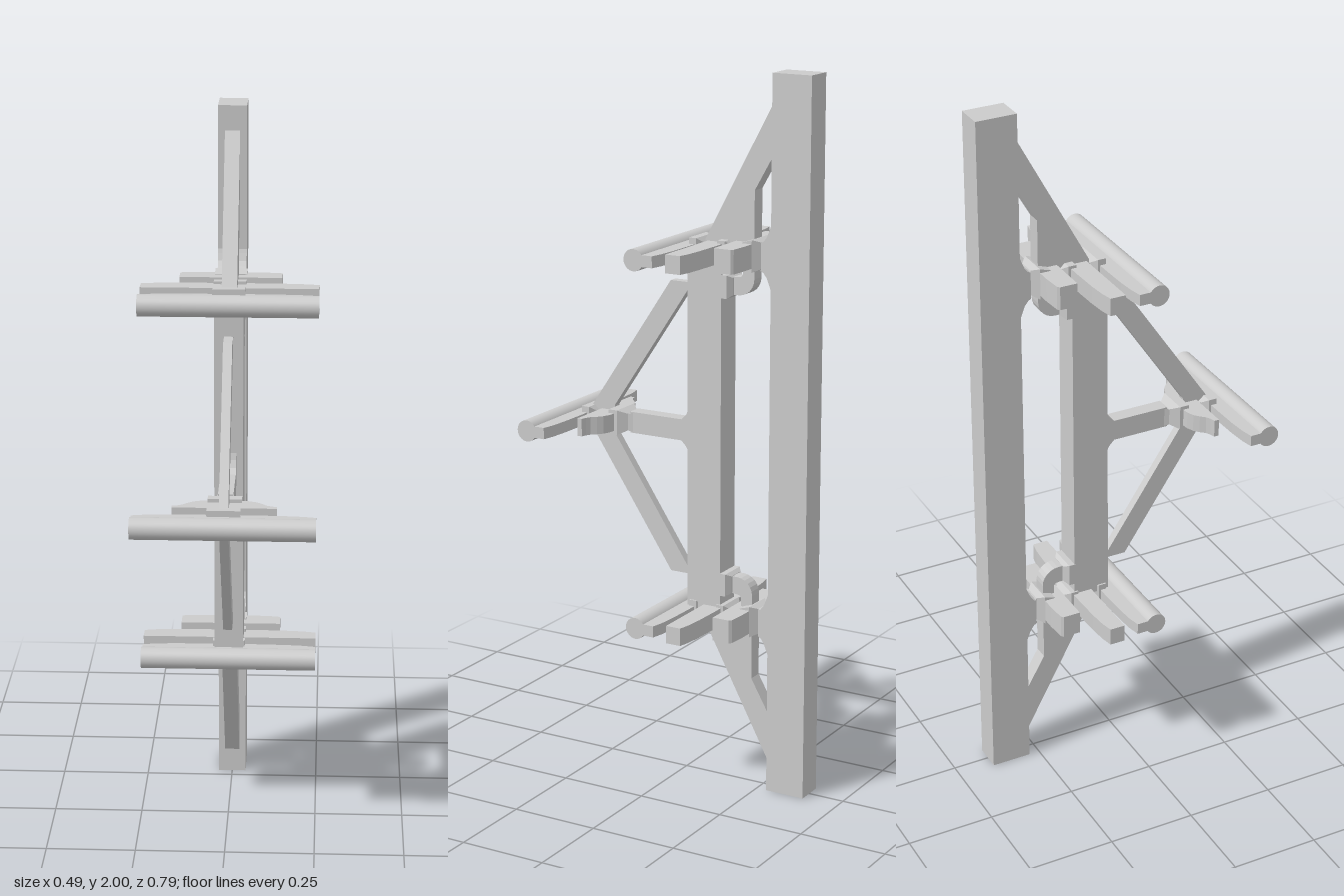
import * as THREE from 'three';

const material = new THREE.MeshStandardMaterial({ color: 0xcccccc, flatShading: true, side: THREE.DoubleSide });
const smooth = new THREE.MeshStandardMaterial({ color: 0xcccccc });

export function createModel() {
  const root = new THREE.Group();

  function add(name, geometry, mat = material) {
    const mesh = new THREE.Mesh(geometry, mat);
    mesh.name = name;
    root.add(mesh);
    return mesh;
  }

  function box(name, hx, y0, y1, z0, z1) {
    const g = new THREE.BoxGeometry(2 * hx, y1 - y0, z1 - z0);
    add(name, g.translate(0, (y0 + y1) / 2, (z0 + z1) / 2));
  }

  // Side-on plate: outline in [z, y], thickness across x
  function plate(name, points, hx) {
    const shape = new THREE.Shape(points.map(([z, y]) => new THREE.Vector2(z, y)));
    const g = new THREE.ExtrudeGeometry(shape, { depth: 2 * hx, bevelEnabled: false });
    add(name, g.translate(0, 0, -hx).rotateY(-Math.PI / 2));
  }

  // Cross arm: half outline in [x, z] along its back edge, straight front edge at zFront
  function crossArm(name, half, zFront, y, hy) {
    const end = half[half.length - 1][0];
    const back = [...half.slice().reverse().map(([x, z]) => [-x, z]), ...half];
    const pts = [...back, [end, zFront], [-end, zFront]];
    const shape = new THREE.Shape(pts.map(([x, z]) => new THREE.Vector2(x, z)));
    const g = new THREE.ExtrudeGeometry(shape, { depth: 2 * hy, bevelEnabled: false });
    add(name, g.translate(0, 0, -hy).rotateX(Math.PI / 2).translate(0, y, 0));
  }

  // Rectangular loft along z: rows of [z, halfX, halfY]
  function loft(name, rows, y) {
    const pos = [], index = [];
    for (const [z, hx, hy] of rows) {
      for (const [sx, sy] of [[-1, -1], [1, -1], [1, 1], [-1, 1]]) pos.push(sx * hx, y + sy * hy, z);
    }
    for (let r = 0; r < rows.length - 1; r++) {
      for (let i = 0; i < 4; i++) {
        const a = r * 4 + i, b = r * 4 + (i + 1) % 4;
        index.push(a, b, b + 4, a, b + 4, a + 4);
      }
    }
    const n = (rows.length - 1) * 4;
    index.push(0, 2, 1, 0, 3, 2, n, n + 1, n + 2, n, n + 2, n + 3);
    const g = new THREE.BufferGeometry();
    g.setAttribute('position', new THREE.Float32BufferAttribute(pos, 3));
    g.setIndex(index);
    const flat = g.toNonIndexed();
    flat.computeVertexNormals();
    add(name, flat);
  }

  // Bearing block with a concave flare from neck to seat
  function bearingBlock(y, z, length) {
    loft('bearingBlock', [
      [z, 0.022, 0.018], [z + length * 0.2, 0.025, 0.02],
      [z + length * 0.5, 0.045, 0.033], [z + length, 0.045, 0.033],
    ], y);
  }

  // Long bowed arm with a round pole in front of it
  function bowedArm(z, zFront, y, hy) {
    crossArm('longCrossArm', [[0.08, z], [0.16, z + 0.002], [0.21, z + 0.006], [0.245, z + 0.013]], zFront, y, hy);
  }
  function poleRail(y, zArm, zPole) {
    bowedArm(zArm, zPole - 0.018, y, 0.016);
    const g = new THREE.CylinderGeometry(0.03, 0.03, 0.49, 32);
    add('roundPole', g.rotateZ(Math.PI / 2).translate(0, y, zPole), smooth);
  }

  // Posts
  box('mainPost', 0.04, 0, 2, -0.395, -0.28);
  box('innerPost', 0.04, 0.5, 1.5, -0.13, -0.025);

  // Upper and lower bracket sets, mirrored about y = 1
  for (const s of [1, -1]) {
    const at = (pts) => pts.map(([z, y]) => [z, 1 + s * (y - 1)]);
    const y = 1 + s * 0.512;

    // Diagonal brace from main post to inner post
    plate('diagonalBrace', at([
      [-0.28, 1.93], [-0.07, 1.54], [-0.07, 1.5], [-0.22, 1.5], [-0.22, 1.685], [-0.28, 1.79],
    ]), 0.021);

    // Flared base on the main post, and its first block
    loft('flaredBase', [
      [-0.285, 0.04, 0.1], [-0.276, 0.04, 0.075], [-0.268, 0.04, 0.055],
      [-0.258, 0.04, 0.042], [-0.25, 0.04, 0.038],
    ], y);
    loft('firstBlock', [
      [-0.25, 0.038, 0.036], [-0.243, 0.025, 0.036], [-0.225, 0.045, 0.044], [-0.195, 0.045, 0.035],
    ], y);

    // Chain of cross arms and blocks out to the pole
    crossArm('shortCrossArm', [[0.08, -0.225], [0.135, -0.221], [0.142, -0.215]], -0.165, y, 0.033);
    bearingBlock(y, -0.165, 0.045);
    bowedArm(-0.135, -0.078, y, 0.025);
    bearingBlock(y, -0.078, 0.045);
    poleRail(y, -0.05, 0.02);

    // Elbow arm linking the short cross arm to the inner post
    const elbow = [[-0.22, 1.5], [-0.185, 1.5], [-0.185, 1.455], [-0.18, 1.448], [-0.15, 1.445], [-0.15, 1.397]];
    for (let i = 0; i <= 6; i++) {
      const a = (i / 6) * Math.PI / 2;
      elbow.push([-0.172 - 0.048 * Math.sin(a), 1.445 - 0.048 * Math.cos(a)]);
    }
    plate('elbowArm', at(elbow), 0.02);
    loft('elbowBlock', [[-0.158, 0.025, 0.024], [-0.147, 0.042, 0.032], [-0.128, 0.042, 0.032]], 1 + s * 0.42);

    // Slanted strut carrying the forward pole
    plate('slantedStrut', at([[-0.025, 1.415], [0.043, 1.415], [0.3, 1.03], [0.285, 1.0], [0.23, 1.0], [0.225, 1.04]]), 0.0125);
  }

  // Middle forward arm with its flared root
  box('middleArm', 0.021, 0.97, 1.03, -0.03, 0.17);
  loft('armRoot', [
    [-0.027, 0.021, 0.09], [-0.02, 0.021, 0.065], [-0.01, 0.021, 0.045], [0.005, 0.021, 0.03],
  ], 1);
  loft('middleBlock', [
    [0.158, 0.02, 0.028], [0.175, 0.025, 0.024], [0.198, 0.046, 0.035], [0.225, 0.046, 0.035],
  ], 1);

  // Winged cross arm, forward block and pole
  crossArm('wingedCrossArm', [
    [0.05, 0.208], [0.065, 0.21], [0.085, 0.218], [0.1, 0.23], [0.112, 0.243], [0.125, 0.25], [0.14, 0.254],
  ], 0.268, 1, 0.025);
  bearingBlock(1, 0.267, 0.047);
  poleRail(1, 0.297, 0.366);

  return root;
}
